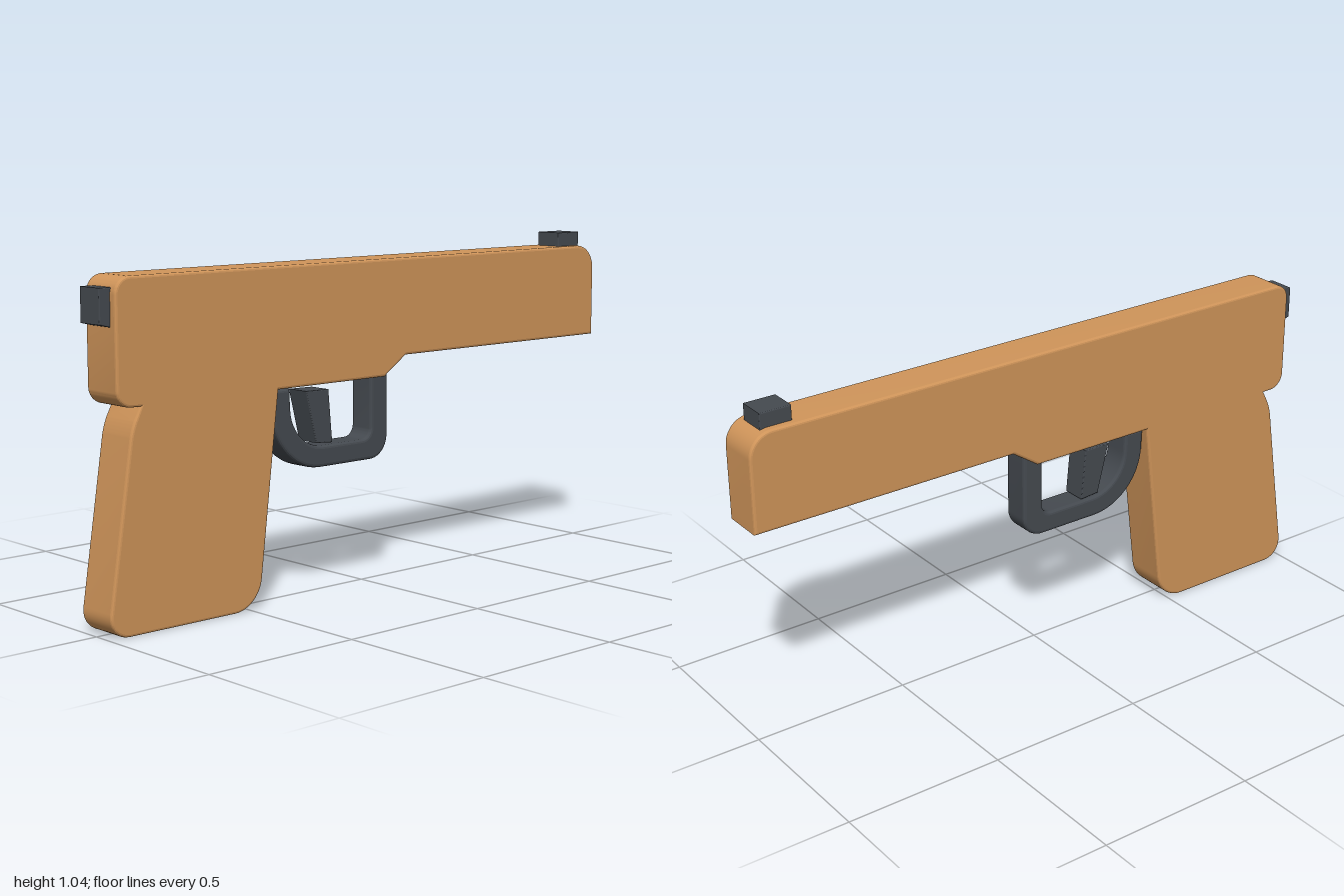
import * as THREE from 'three';
import { toCreasedNormals } from 'three/addons/utils/BufferGeometryUtils.js';

// Closed outline from [x, y, cornerRadius] points
function roundedShape(points) {
  const shape = new THREE.Shape();
  const n = points.length;
  points.forEach(([x, y, r = 0], i) => {
    const corner = new THREE.Vector2(x, y);
    const prev = new THREE.Vector2(...points[(i + n - 1) % n].slice(0, 2));
    const next = new THREE.Vector2(...points[(i + 1) % n].slice(0, 2));
    const toward = (p, d) => corner.clone().add(p.sub(corner).setLength(d));
    const a = r ? toward(prev.clone(), r) : corner;
    if (i === 0) shape.moveTo(a.x, a.y);
    else shape.lineTo(a.x, a.y);
    if (r) {
      const b = toward(next.clone(), r);
      const c1 = a.clone().lerp(corner, 0.55);
      const c2 = b.clone().lerp(corner, 0.55);
      shape.bezierCurveTo(c1.x, c1.y, c2.x, c2.y, b.x, b.y);
    }
  });
  shape.closePath();
  return shape;
}

// Bevelled plate of the given full width, centred on z = 0
function plate(name, points, width, bevel, material) {
  const geometry = new THREE.ExtrudeGeometry(roundedShape(points), {
    depth: width - 2 * bevel,
    bevelEnabled: true,
    bevelSize: bevel,
    bevelThickness: bevel,
    bevelOffset: -bevel,
    bevelSegments: 3,
    curveSegments: 12,
  });
  geometry.translate(0, 0, bevel - width / 2);
  const mesh = new THREE.Mesh(toCreasedNormals(geometry, 0.22), material);
  mesh.name = name;
  return mesh;
}

export function createModel() {
  const wood = new THREE.MeshStandardMaterial({ color: 0xd0955a });
  wood.name = 'tan wood';
  const dark = new THREE.MeshStandardMaterial({ color: 0x454a50 });
  dark.name = 'dark grey';

  const model = new THREE.Group();
  model.name = 'toyPistol';

  // Slide and grip cut from one board
  model.add(plate('body', [
    [-1.008, 0, 0.075], [-0.468, 0, 0.09], [-0.39, 0.64], [0.035, 0.64],
    [0.125, 0.70], [1, 0.70], [1, 1, 0.075], [-0.965, 1, 0.05],
    [-0.965, 0.64, 0.05], [-0.885, 0.64], [-0.917, 0.58, 0.03],
  ], 0.14, 0.008, wood));

  // Curved loop around the trigger
  model.add(plate('triggerGuard', [
    [-0.395, 0.635], [-0.385, 0.385, 0.18], [0.07, 0.385, 0.07], [0.07, 0.668],
    [0, 0.668], [0, 0.45, 0.035], [-0.315, 0.45, 0.12], [-0.325, 0.635],
  ], 0.09, 0.01, dark));

  model.add(plate('trigger', [
    [-0.22, 0.46], [-0.155, 0.455], [-0.17, 0.618], [-0.26, 0.62],
  ], 0.08, 0.003, dark));

  // Sights on the muzzle end and on the back
  model.add(plate('frontSight', [
    [0.85, 0.985], [0.95, 0.985], [0.95, 1.045], [0.85, 1.045],
  ], 0.09, 0.003, dark));
  model.add(plate('rearSight', [
    [-1, 0.87], [-0.95, 0.858], [-0.95, 0.97], [-1, 0.97],
  ], 0.09, 0.003, dark));

  return model;
}
